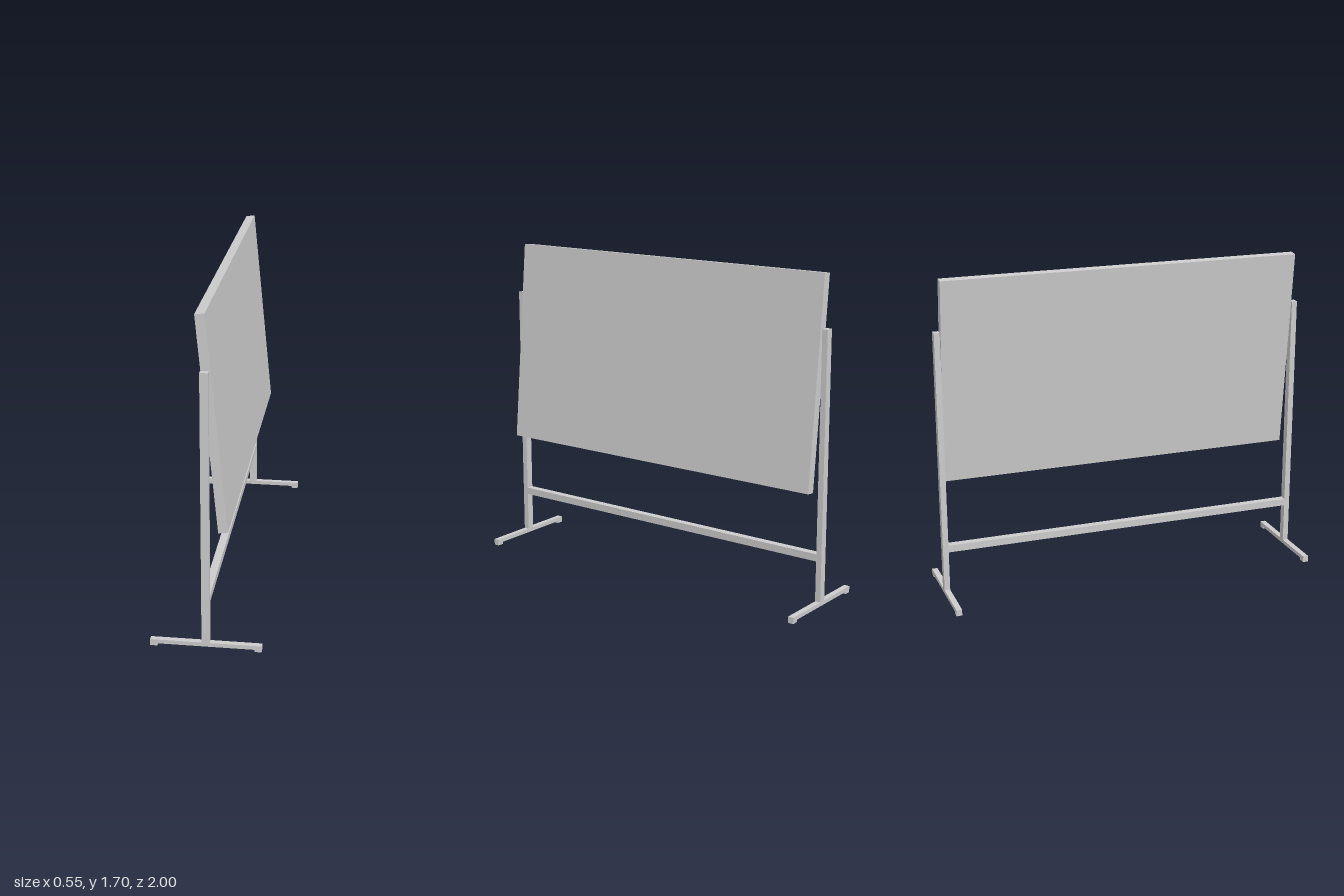
import * as THREE from 'three';

export function createModel() {
  const group = new THREE.Group();
  const material = new THREE.MeshStandardMaterial({ color: 0xcccccc, flatShading: true });

  const box = (name, [w, h, d], [x, y, z]) => {
    const mesh = new THREE.Mesh(new THREE.BoxGeometry(w, h, d), material);
    mesh.name = name;
    mesh.position.set(x, y, z);
    group.add(mesh);
    return mesh;
  };

  // Tilted board hung between the posts
  const board = box('board', [0.047, 1.085, 1.93], [0.03, 1.153, 0]);
  board.rotation.z = 0.097;

  // Cross rail joining the posts
  box('crossRail', [0.04, 0.038, 1.94], [0, 0.264, 0]);

  // Post, foot bar and end pads on each side
  for (const [side, s] of [['front', 1], ['back', -1]]) {
    const z = s * 0.985;
    box(side + 'Post', [0.04, 1.395, 0.03], [0, 0.7275, z]);
    box(side + 'Foot', [0.55, 0.021, 0.03], [0, 0.0225, z]);
    for (const e of [-1, 1]) {
      box(side + 'FootPad', [0.036, 0.012, 0.03], [e * 0.257, 0.006, z]);
    }
  }
  return group;
}
